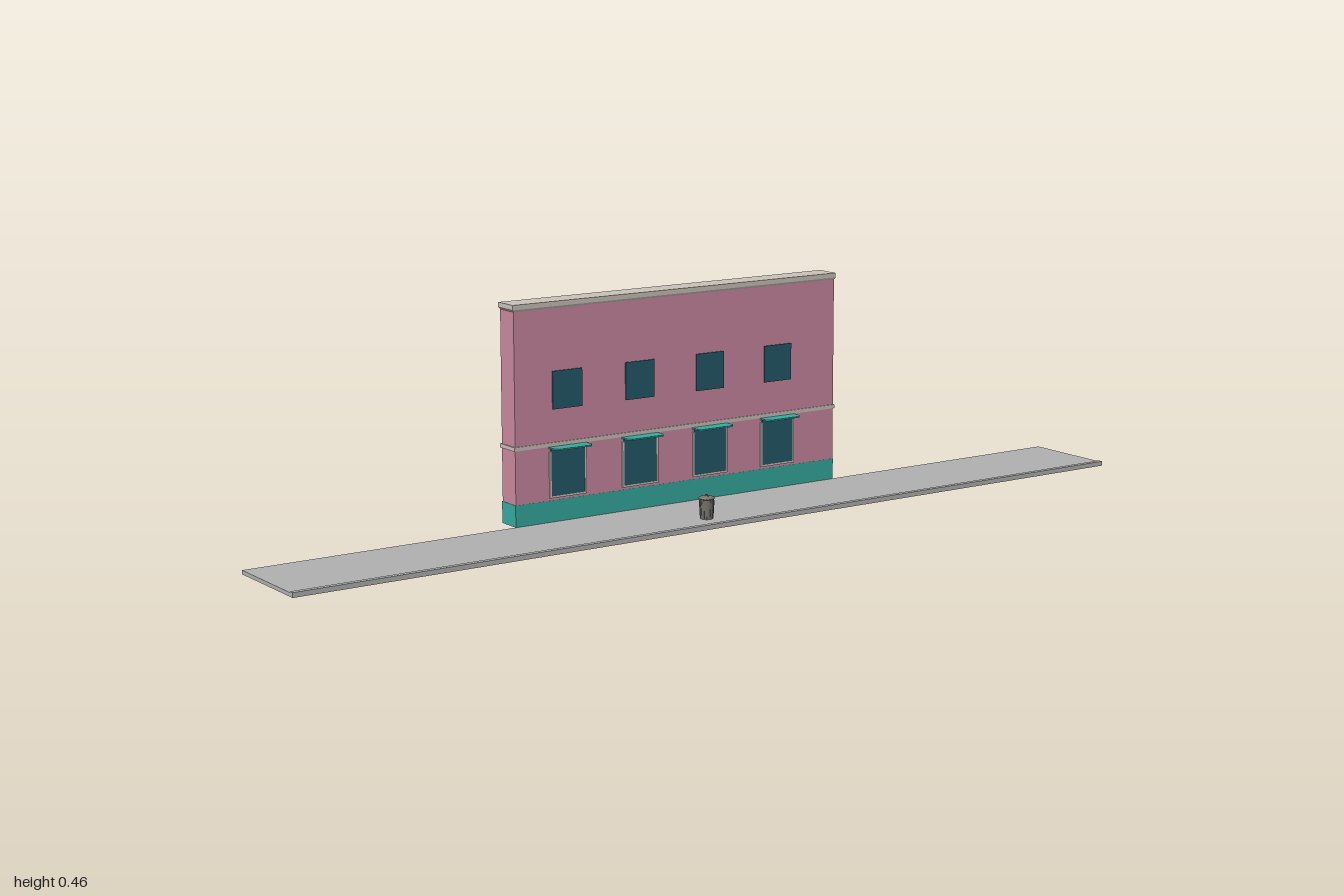
import * as THREE from 'three';

const mat = (name, color) => {
  const m = new THREE.MeshStandardMaterial({ color });
  m.name = name;
  return m;
};

export function createModel() {
  const root = new THREE.Group();
  root.name = 'streetBuilding';
  const pink = mat('pinkWall', 0xca889f);
  const teal = mat('tealPaint', 0x35aba0);
  const glass = mat('darkBlueGlass', 0x235a69);
  const stone = mat('paleStone', 0xcac2b9);
  const paving = mat('greyPaving', 0xb0b0b0);
  const metal = mat('binMetal', 0x76736b);

  const add = (parent, name, geometry, material, x = 0, y = 0, z = 0) => {
    const mesh = new THREE.Mesh(geometry, material);
    mesh.name = name;
    mesh.position.set(x, y, z);
    parent.add(mesh);
    return mesh;
  };
  // Box given by its minimum and maximum corners
  const block = (parent, name, material, [x0, y0, z0], [x1, y1, z1]) =>
    add(parent, name, new THREE.BoxGeometry(x1 - x0, y1 - y0, z1 - z0), material,
      (x0 + x1) / 2, (y0 + y1) / 2, (z0 + z1) / 2);

  // Pavement with a slightly raised kerb
  block(root, 'pavement', paving, [-1, 0, -0.079], [1, 0.008, 0.121]);
  block(root, 'kerb', paving, [-1, 0, 0.121], [1, 0.01, 0.132]);

  // Wall, painted base, and string course
  block(root, 'wall', pink, [-0.4, 0.053, -0.129], [0.4, 0.447, -0.078]);
  block(root, 'wallBase', teal, [-0.401, 0.008, -0.13], [0.401, 0.053, -0.0775]);
  block(root, 'stringCourse', stone, [-0.403, 0.164, -0.131], [0.403, 0.172, -0.076]);

  // Roof cap whose lower edge slopes in to the wall
  const cap = new THREE.BoxGeometry(0.806, 0.004, 0.055);
  const p = cap.attributes.position;
  for (let i = 0; i < p.count; i++) {
    if (p.getY(i) < 0) {
      p.setX(i, p.getX(i) * 0.993);
      p.setZ(i, p.getZ(i) * 0.93);
    }
  }
  cap.computeVertexNormals();
  add(root, 'roofCapUnderside', cap, stone, 0, 0.447, -0.1035);
  block(root, 'roofCap', stone, [-0.403, 0.449, -0.131], [0.403, 0.459, -0.076]);

  // Awning plate, narrower at its front
  const plan = new THREE.Shape([[-0.045, 0], [0.045, 0], [0.045, 0.021], [0.038, 0.03],
    [-0.038, 0.03], [-0.045, 0.021]].map(([x, y]) => new THREE.Vector2(x, y)));
  const awning = new THREE.ExtrudeGeometry(plan, { depth: 0.003, bevelEnabled: false });
  awning.rotateX(Math.PI / 2);

  // Four window bays
  for (let i = 0; i < 4; i++) {
    const x = -0.277 + i * 0.1755;
    const bay = new THREE.Group();
    bay.name = 'windowBay';
    bay.position.x = x;
    root.add(bay);
    block(bay, 'upperWindow', glass, [-0.035, 0.24, -0.0785], [0.035, 0.318, -0.075]);
    block(bay, 'lowerWindow', glass, [-0.04, 0.062, -0.0785], [0.04, 0.161, -0.0755]);
    block(bay, 'windowSill', stone, [-0.044, 0.058, -0.0785], [0.044, 0.062, -0.075]);
    for (const s of [-1, 1]) {
      const c = s * 0.042;
      block(bay, 'windowJamb', stone, [c - 0.002, 0.062, -0.0785], [c + 0.002, 0.154, -0.075]);
    }
    add(bay, 'awning', awning, teal, 0, 0.1635, -0.078);
  }

  // Dustbin with ribs, lid, and handles
  const bin = new THREE.Group();
  bin.name = 'dustbin';
  bin.position.set(-0.04, 0.008, 0.074);
  root.add(bin);
  add(bin, 'binBody', new THREE.CylinderGeometry(0.0155, 0.013, 0.042, 16), metal, 0, 0.021, 0);
  for (let i = 0; i < 12; i++) {
    const a = (i / 12) * Math.PI * 2;
    const rib = add(bin, 'binRib', new THREE.BoxGeometry(0.002, 0.036, 0.001), metal,
      Math.sin(a) * 0.0144, 0.02, Math.cos(a) * 0.0144);
    rib.rotation.order = 'YXZ';
    rib.rotation.set(0.06, a, 0);
  }
  const lid = [[0, 0.047], [0.012, 0.046], [0.0165, 0.044], [0.0165, 0.041], [0, 0.041]]
    .map(([r, y]) => new THREE.Vector2(r, y)).reverse();
  add(bin, 'binLid', new THREE.LatheGeometry(lid, 16), metal);
  add(bin, 'lidHandle', new THREE.TorusGeometry(0.004, 0.001, 6, 10, Math.PI), metal, 0, 0.046, 0)
    .rotation.y = Math.PI / 2;
  for (const s of [-1, 1]) {
    add(bin, 'sideHandle', new THREE.TorusGeometry(0.004, 0.0008, 6, 12), metal, s * 0.0155, 0.034, 0)
      .rotation.y = Math.PI / 2;
  }
  return root;
}
